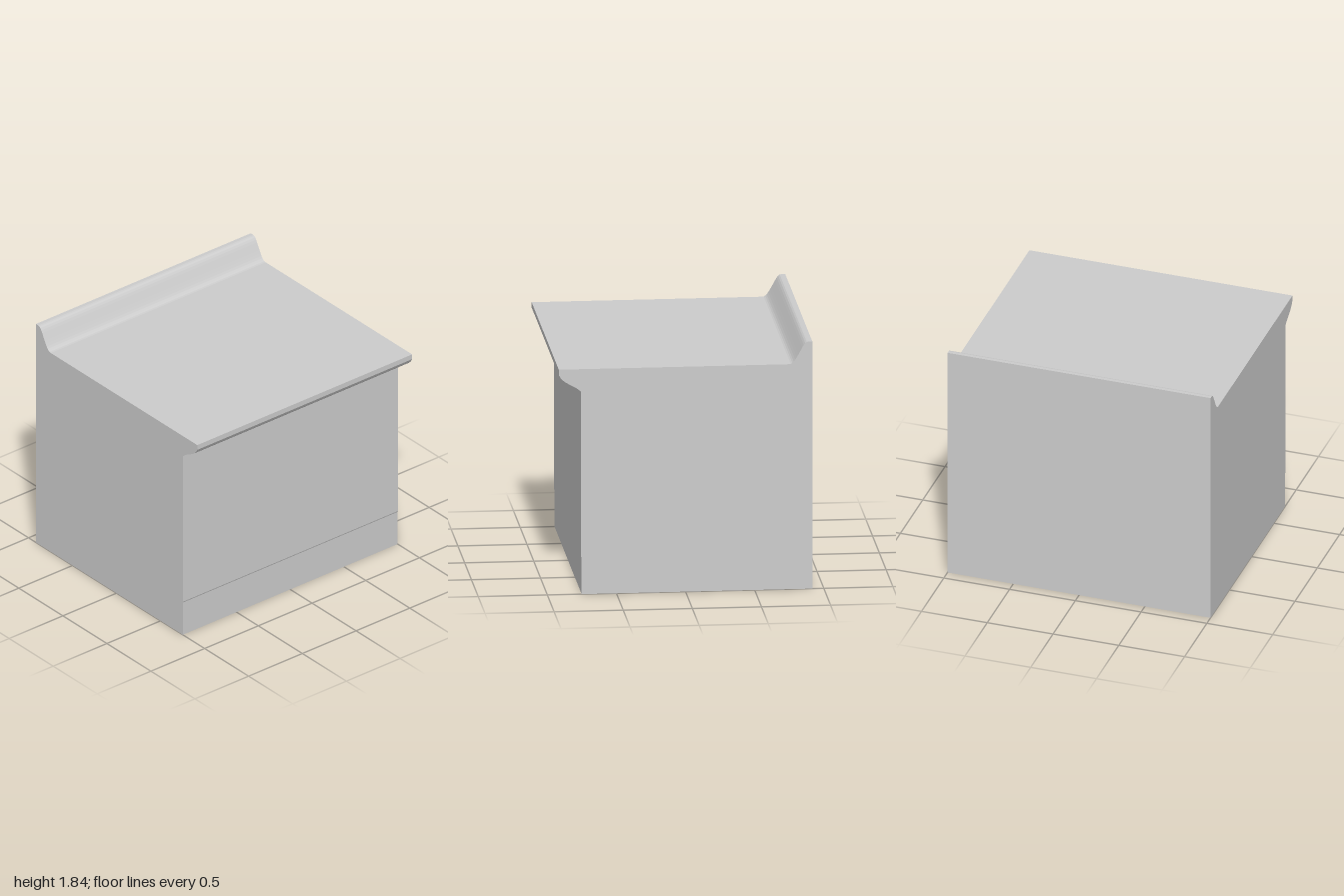
import * as THREE from 'three';

export function createModel() {
  const group = new THREE.Group();
  group.name = 'counterBlock';
  const lightGrey = new THREE.MeshStandardMaterial({ color: 0xcccccc });
  lightGrey.name = 'lightGrey';

  // Side profile: horizontal = depth (front positive), vertical = height
  const profile = new THREE.Shape();
  profile.moveTo(-0.917, 0);
  profile.lineTo(0.752, 0);
  // Front face with a very slight step above the base
  profile.lineTo(0.752, 0.27);
  profile.lineTo(0.756, 0.28);
  profile.lineTo(0.756, 1.503);
  // Overhanging front lip
  profile.bezierCurveTo(0.8, 1.55, 0.895, 1.565, 0.917, 1.63);
  profile.lineTo(0.917, 1.67);
  // Flat top, then the S-curved rear upstand
  profile.lineTo(-0.747, 1.67);
  profile.bezierCurveTo(-0.777, 1.67, -0.79, 1.695, -0.816, 1.74);
  profile.bezierCurveTo(-0.85, 1.8, -0.862, 1.835, -0.89, 1.835);
  profile.lineTo(-0.917, 1.835);
  profile.closePath();

  // Sweep the profile across the full width
  const geometry = new THREE.ExtrudeGeometry(profile, { depth: 2, bevelEnabled: false, curveSegments: 6 });
  geometry.rotateY(-Math.PI / 2);
  geometry.translate(1, 0, 0);

  const counter = new THREE.Mesh(geometry, lightGrey);
  counter.name = 'counterBody';
  group.add(counter);
  return group;
}
